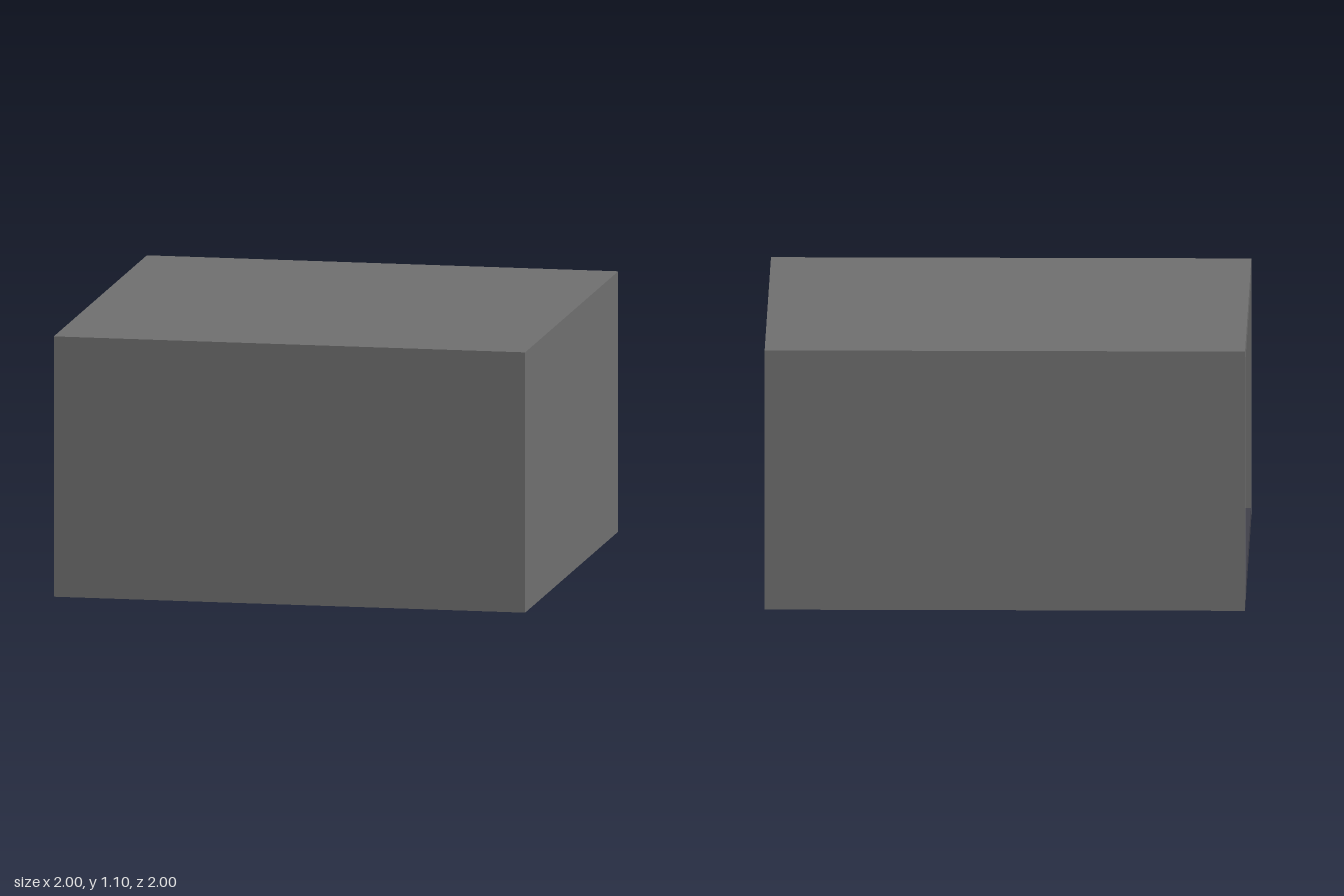
import * as THREE from 'three';

const H = 1.1;                    // overall height
const IZ = 0.87;                  // inner half width
const IY0 = 0.067, IY1 = 1.033;   // inner floor and ceiling heights

// Turns a list of [z, y] points into a shape
const points = (list) => list.map(([z, y]) => new THREE.Vector2(z, y));

// Extrudes a z-y outline along x, from x0 to x1
function extrudeX(shape, x0, x1) {
  const geometry = new THREE.ExtrudeGeometry(shape, { depth: x1 - x0, bevelEnabled: false });
  geometry.rotateY(Math.PI / 2);
  geometry.translate(x0, 0, 0);
  return geometry;
}

export function createModel() {
  const group = new THREE.Group();
  group.name = 'openRoom';

  const wall = new THREE.MeshStandardMaterial({ color: 0x707070 });
  wall.name = 'wall grey';
  const floor = new THREE.MeshStandardMaterial({ color: 0x40404a });
  floor.name = 'dark slate';

  const add = (name, geometry, material) => {
    const mesh = new THREE.Mesh(geometry, material);
    mesh.name = name;
    group.add(mesh);
  };

  // Roof and two side walls, mitred where they meet the floor
  const shell = new THREE.Shape(points([
    [-1, 0], [-IZ, IY0], [-IZ, IY1], [IZ, IY1], [IZ, IY0], [1, 0], [1, H], [-1, H],
  ]));
  add('wallsAndRoof', extrudeX(shell, -1, IZ), wall);

  // Floor slab, filling the mitred bottom
  const slab = new THREE.Shape(points([[-1, 0], [1, 0], [IZ, IY0], [-IZ, IY0]]));
  add('floor', extrudeX(slab, -1, IZ), floor);

  // Closed end wall, with a dark underside
  const end = new THREE.BoxGeometry(1 - IZ, H, 2);
  end.translate((1 + IZ) / 2, H / 2, 0);
  add('endWall', end, [wall, wall, wall, floor, wall, wall]);

  // Dividing frame with a chamfered opening: dark faces, grey reveals
  const frame = new THREE.Shape(points([[-IZ, IY0], [IZ, IY0], [IZ, IY1], [-IZ, IY1]]));
  const oz = 0.84, oy0 = 0.095, oy1 = H - oy0, cz = 0.15, cy = 0.215;
  frame.holes.push(new THREE.Path(points([
    [-oz + cz, oy0], [-oz, oy0 + cy], [-oz, oy1 - cy], [-oz + cz, oy1],
    [oz - cz, oy1], [oz, oy1 - cy], [oz, oy0 + cy], [oz - cz, oy0],
  ])));
  add('dividingFrame', extrudeX(frame, -0.08, -0.035), [floor, wall]);

  return group;
}
